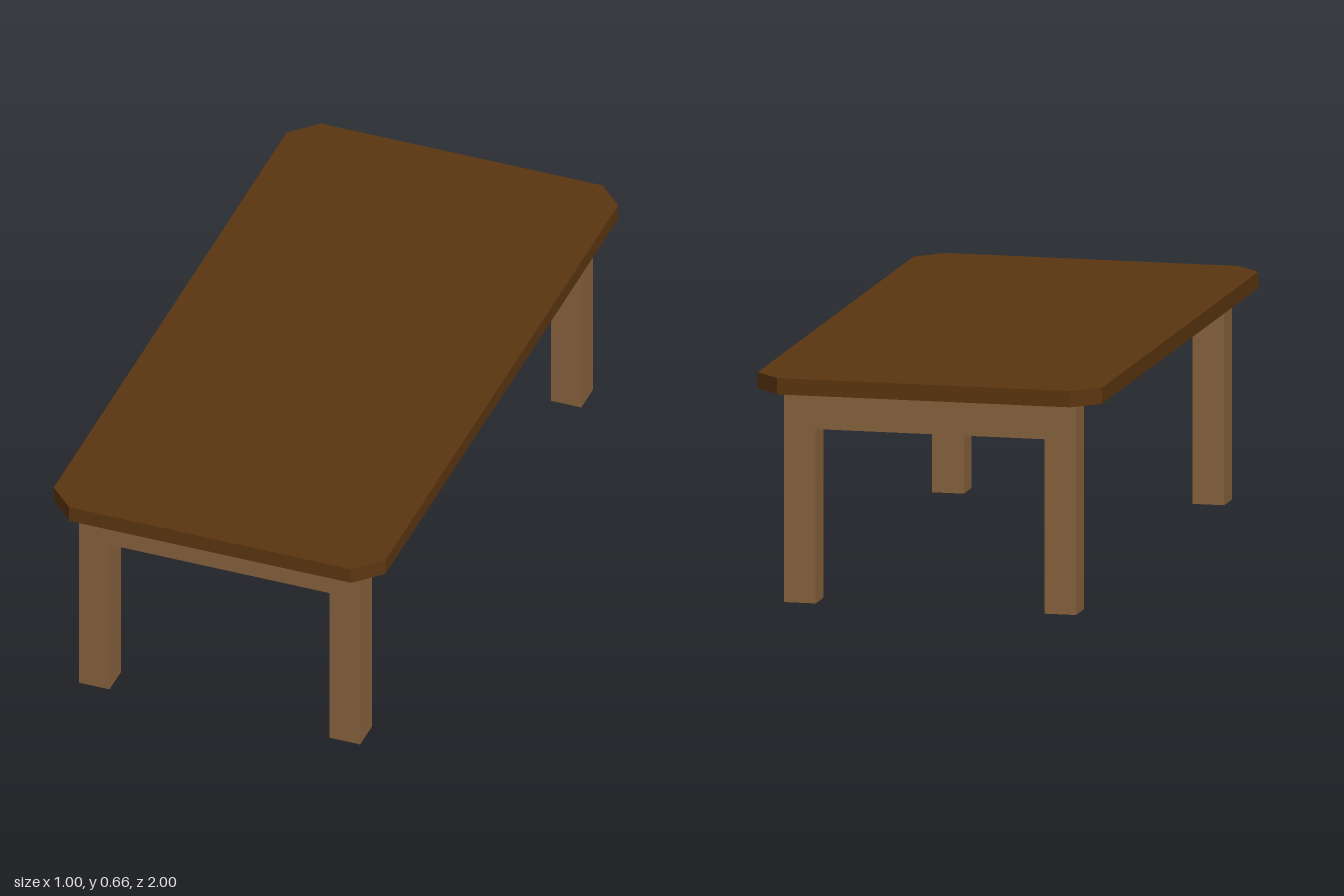
import * as THREE from 'three';

const darkWood = new THREE.MeshStandardMaterial({ color: 0x5c3610 });
darkWood.name = 'darkWood';
const lightWood = new THREE.MeshStandardMaterial({ color: 0x88623d });
lightWood.name = 'lightWood';

// Flat outline given a straight thickness
function slab(points, depth) {
  const shape = new THREE.Shape(points.map(([x, y]) => new THREE.Vector2(x, y)));
  return new THREE.ExtrudeGeometry(shape, { depth, bevelEnabled: false });
}

export function createModel() {
  const table = new THREE.Group();
  table.name = 'table';

  // Table top with clipped corners
  const w = 0.5, l = 1, cut = 0.075, underside = 0.609, thickness = 0.047;
  const topGeometry = slab([
    [-w + cut, -l], [w - cut, -l], [w, -l + cut], [w, l - cut],
    [w - cut, l], [-w + cut, l], [-w, l - cut], [-w, -l + cut],
  ], thickness);
  topGeometry.rotateX(-Math.PI / 2);
  const top = new THREE.Mesh(topGeometry, darkWood);
  top.name = 'tableTop';
  top.position.y = underside;
  table.add(top);

  // Two legs joined by a rail, cut as one arch for each end
  const outer = 0.424, inner = 0.332, railBottom = 0.5, legDepth = 0.093;
  const archGeometry = slab([
    [-outer, 0], [-inner, 0], [-inner, railBottom], [inner, railBottom],
    [inner, 0], [outer, 0], [outer, underside], [-outer, underside],
  ], legDepth);
  archGeometry.translate(0, 0, -legDepth / 2);
  for (const side of [1, -1]) {
    const arch = new THREE.Mesh(archGeometry, lightWood);
    arch.name = side > 0 ? 'frontLegFrame' : 'backLegFrame';
    arch.position.z = side * 0.878;
    table.add(arch);
  }
  return table;
}
